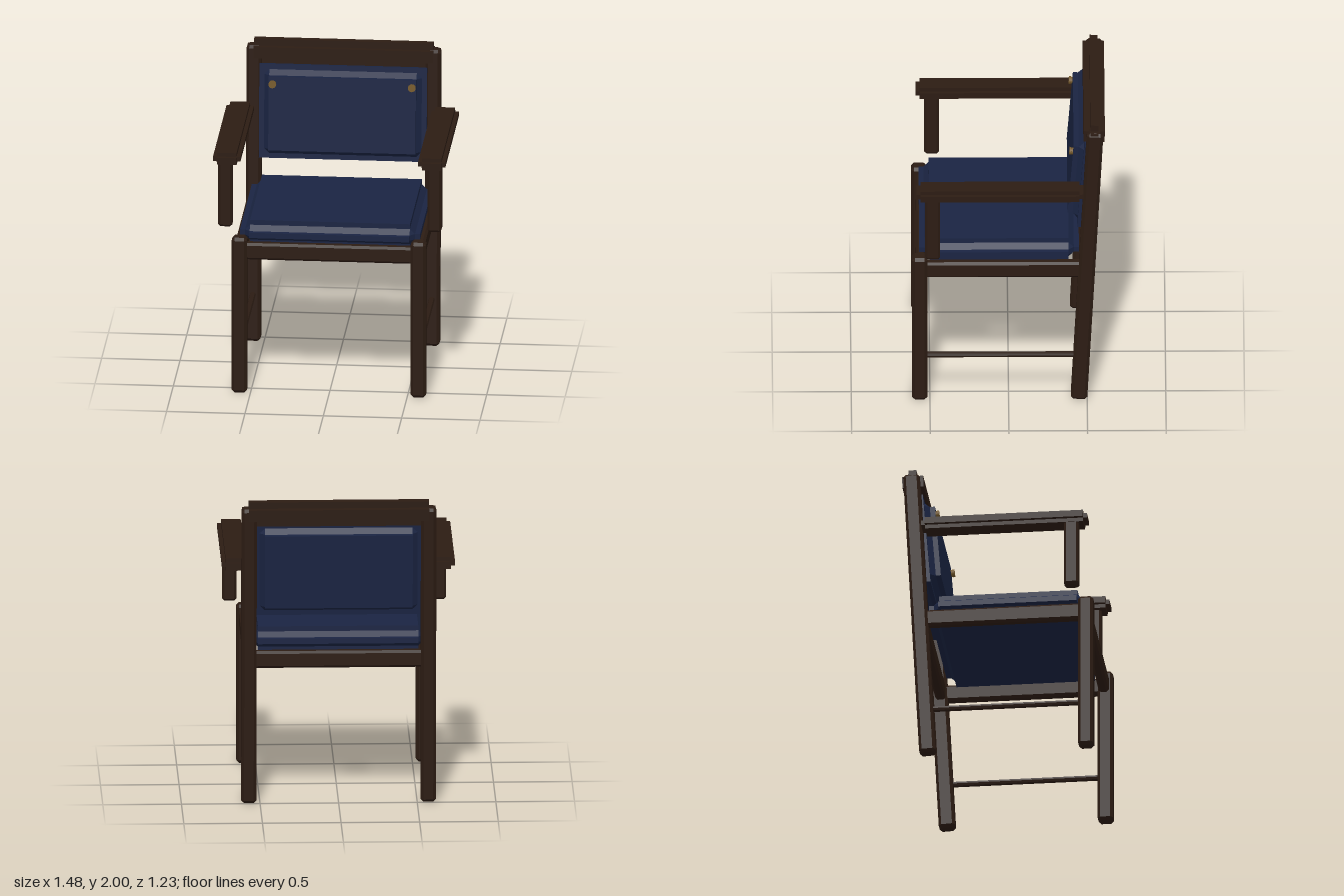
import * as THREE from 'three';
import { ConvexGeometry } from 'three/addons/geometries/ConvexGeometry.js';
import { mergeGeometries } from 'three/addons/utils/BufferGeometryUtils.js';

const wood = new THREE.MeshStandardMaterial({ color: 0x2c1c13, flatShading: true });
const fabric = new THREE.MeshStandardMaterial({ color: 0x1a2442, flatShading: true });
const brass = new THREE.MeshStandardMaterial({ color: 0x75592a });

// Box whose edges are cut at 45 degrees by b
function chamferBox(w, h, d, b) {
  const points = [];
  for (const x of [-1, 1]) for (const y of [-1, 1]) for (const z of [-1, 1]) {
    const X = w / 2, Y = h / 2, Z = d / 2;
    points.push(
      new THREE.Vector3(x * X, y * (Y - b), z * (Z - b)),
      new THREE.Vector3(x * (X - b), y * Y, z * (Z - b)),
      new THREE.Vector3(x * (X - b), y * (Y - b), z * Z));
  }
  return new ConvexGeometry(points);
}

// Box with inward-stepped edges: three crossing slabs
function steppedBox(w, h, d, b) {
  const c = 2 * b;
  return mergeGeometries([
    new THREE.BoxGeometry(w, h - c, d - c),
    new THREE.BoxGeometry(w - c, h, d - c),
    new THREE.BoxGeometry(w - c, h - c, d),
  ]);
}

export function createModel() {
  const model = new THREE.Group();
  model.name = 'armchair';

  const add = (name, geometry, material, x, y, z, tilt = 0, parent = model) => {
    const mesh = new THREE.Mesh(geometry, material);
    mesh.name = name;
    mesh.position.set(x, y, z);
    mesh.rotation.x = tilt;
    parent.add(mesh);
  };

  // Cushion: stepped box with a chamfered core filling the inner corners of the steps
  const addCushion = (name, w, h, d, b, y, z, tilt) => {
    const cushion = new THREE.Group();
    cushion.name = name;
    cushion.position.set(0, y, z);
    cushion.rotation.x = tilt;
    add(`${name}Slabs`, steppedBox(w, h, d, b), fabric, 0, 0, 0, 0, cushion);
    add(`${name}Core`, chamferBox(w - b, h - b, d - b, b / 2), fabric, 0, 0, 0, 0, cushion);
    model.add(cushion);
    return cushion;
  };

  const postTilt = -0.053;
  for (const [side, s] of [['left', 1], ['right', -1]]) {
    // Legs and leaning back posts
    add(`${side}FrontLeg`, chamferBox(0.097, 1.04, 0.097, 0.018), wood, s * 0.571, 0.525, 0.565);
    add(`${side}BackPost`, chamferBox(0.097, 1.955, 0.105, 0.018), wood, s * 0.571, 0.981, -0.499, postTilt);

    // Side apron and round stretcher
    add(`${side}Apron`, chamferBox(0.064, 0.11, 1.0, 0.015), wood, s * 0.57, 0.95, 0.035);
    add(`${side}Stretcher`, new THREE.CylinderGeometry(0.019, 0.019, 0.98, 8), wood,
      s * 0.571, 0.317, 0.05, Math.PI / 2);

    // Armrest and its hanging support
    add(`${side}Armrest`, steppedBox(0.175, 0.08, 1.06, 0.025), wood, s * 0.654, 1.56, 0.055);
    add(`${side}ArmSupport`, chamferBox(0.09, 0.45, 0.095, 0.015), wood, s * 0.667, 1.317, 0.483);
  }

  // Front and back aprons
  add('frontApron', chamferBox(1.1, 0.11, 0.064, 0.015), wood, 0, 0.95, 0.557);
  add('backApron', chamferBox(1.1, 0.11, 0.064, 0.015), wood, 0, 0.95, -0.488);

  // Top rail
  add('topRail', steppedBox(1.23, 0.16, 0.135, 0.042), wood, 0, 1.919, -0.544, -0.03);

  // Seat sunk into the aprons, back panel with a thin rectangular rim
  addCushion('seatCushion', 1.15, 0.165, 1.015, 0.065, 1.053, 0.06, 0);
  const panel = addCushion('backPanel', 1.07, 0.615, 0.155, 0.065, 1.538, -0.472, -0.08);
  add('backPanelRim', new THREE.BoxGeometry(1.07, 0.615, 0.025), fabric, 0, 0, 0, 0, panel);

  // Round studs on the back panel: base, stem and head
  for (const [side, s] of [['left', 1], ['right', -1]]) {
    for (const [part, r, length, z] of [['Base', 0.022, 0.012, 0.08], ['Stem', 0.015, 0.03, 0.085], ['Head', 0.025, 0.013, 0.094]]) {
      add(`${side}Stud${part}`, new THREE.CylinderGeometry(r, r, length, 12), brass,
        s * 0.445, 0.196, z, Math.PI / 2, panel);
    }
  }

  return model;
}
